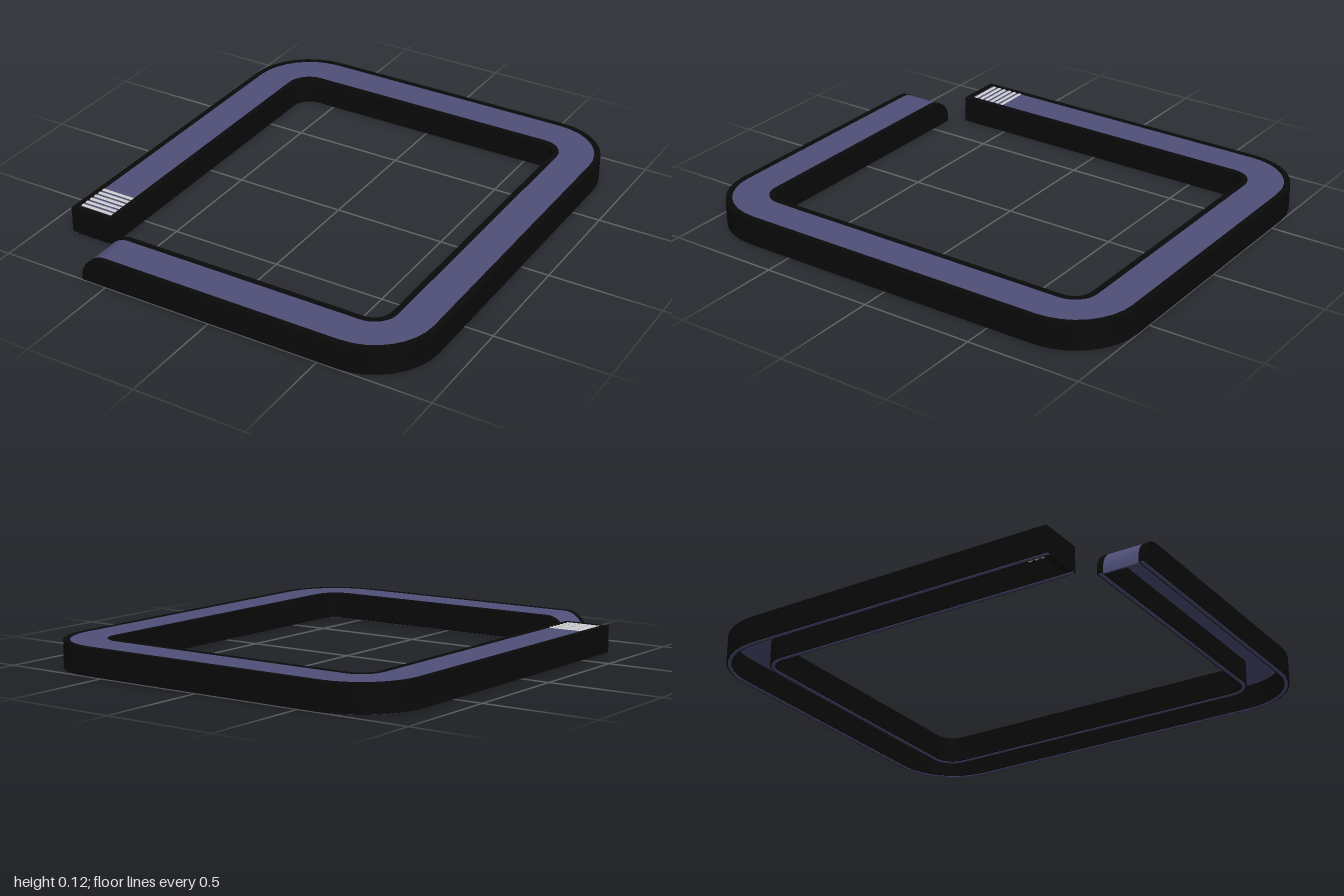
import * as THREE from 'three';
import { toCreasedNormals } from 'three/addons/utils/BufferGeometryUtils.js';

const H = 0.12, R = 0.185, CURL = 0.1, INNER = 0.078, OUTER = 0.105;
const END_Z = 0.724, CAP = 0.027;

// Stations along the centre line: position, outward angle, curl angle at the open end
function makePath(startZ) {
  const path = [{ x: -0.77, z: startZ, a: Math.PI, phi: 0 }];
  [[-0.585, -0.71], [0.585, -0.71], [0.585, 0.71]].forEach(([cx, cz], i) => {
    for (let j = 0; j <= 8; j++) {
      const a = Math.PI + (i + j / 8) * Math.PI / 2;
      path.push({ x: cx + R * Math.cos(a), z: cz + R * Math.sin(a), a, phi: 0 });
    }
  });
  for (let j = 0; j <= 8; j++) {
    path.push({ x: -0.515, z: 0.895, a: Math.PI * 2.5, phi: j / 8 * Math.PI / 2 });
  }
  return path;
}

// Sweeps a closed section of [outward offset, height, forward shift] along the path
function sweep(path, section) {
  const rings = path.map((s) => section(s).map(([o, y, f]) => {
    const c = Math.cos(s.a), n = Math.sin(s.a);
    return [s.x + c * o - n * f, y, s.z + n * o + c * f];
  }));
  const pos = [];
  const quad = (a, b, c, d) => pos.push(...a, ...b, ...c, ...a, ...c, ...d);
  for (let i = 0; i < rings.length - 1; i++) {
    const A = rings[i], B = rings[i + 1];
    for (let k = 0; k < 4; k++) {
      const m = (k + 1) % 4;
      quad(A[k], A[m], B[m], B[k]);
    }
  }
  const S = rings[0], E = rings[rings.length - 1];
  quad(S[3], S[2], S[1], S[0]);
  quad(E[0], E[1], E[2], E[3]);
  const g = new THREE.BufferGeometry();
  g.setAttribute('position', new THREE.Float32BufferAttribute(pos, 3));
  return toCreasedNormals(g, 0.5);
}

// Upright strip between two offsets whose top follows the curl
const strip = (o1, o2, y0, y1) => (s) => {
  const f = CURL * Math.sin(s.phi);
  const top = y1 ?? H - CURL + CURL * Math.cos(s.phi);
  return [[o1, y0, f], [o2, y0, f], [o2, top, f], [o1, top, f]];
};

export function createModel() {
  const group = new THREE.Group();
  const black = new THREE.MeshStandardMaterial({ color: 0x0a0a0a });
  const purple = new THREE.MeshStandardMaterial({ color: 0x50507a });
  const grey = new THREE.MeshStandardMaterial({ color: 0xcccccc });
  const add = (name, geometry, material) => {
    const mesh = new THREE.Mesh(geometry, material);
    mesh.name = name;
    group.add(mesh);
    return mesh;
  };

  // Side walls with a thin coloured rim underneath
  const path = makePath(END_Z);
  for (const [side, a, b] of [['outer', INNER, OUTER], ['inner', -OUTER, -INNER]]) {
    add(side + 'Wall', sweep(path, strip(a, b, 0.002)), black);
    add(side + 'BottomRim', sweep(path, strip(a + 0.006, b - 0.006, 0, 0.002)), purple);
  }

  // Belt, curling down at the open end
  add('belt', sweep(makePath(END_Z - CAP), (s) => {
    const at = (o, r) => [o, H - CURL + r * Math.cos(s.phi), r * Math.sin(s.phi)];
    const lo = CURL - 0.01, hi = CURL - 0.001;
    return [at(-INNER, lo), at(INNER, lo), at(INNER, hi), at(-INNER, hi)];
  }), purple);
  const lip = add('beltLip', new THREE.BoxGeometry(0.009, H - CURL, INNER * 2), purple);
  lip.position.set(-0.6095, (H - CURL) / 2, 0.895);

  // Closed end plate
  const cap = add('endPlate', new THREE.BoxGeometry(INNER * 2, H, CAP), black);
  cap.position.set(-0.77, H / 2, END_Z - CAP / 2);

  // Rollers beside the end plate
  for (let i = 0; i < 6; i++) {
    const roller = add('roller', new THREE.CylinderGeometry(0.0145, 0.0145, INNER * 2, 16), grey);
    roller.rotation.z = Math.PI / 2;
    roller.position.set(-0.77, 0.108, 0.5375 + i * 0.029);
  }
  return group;
}
